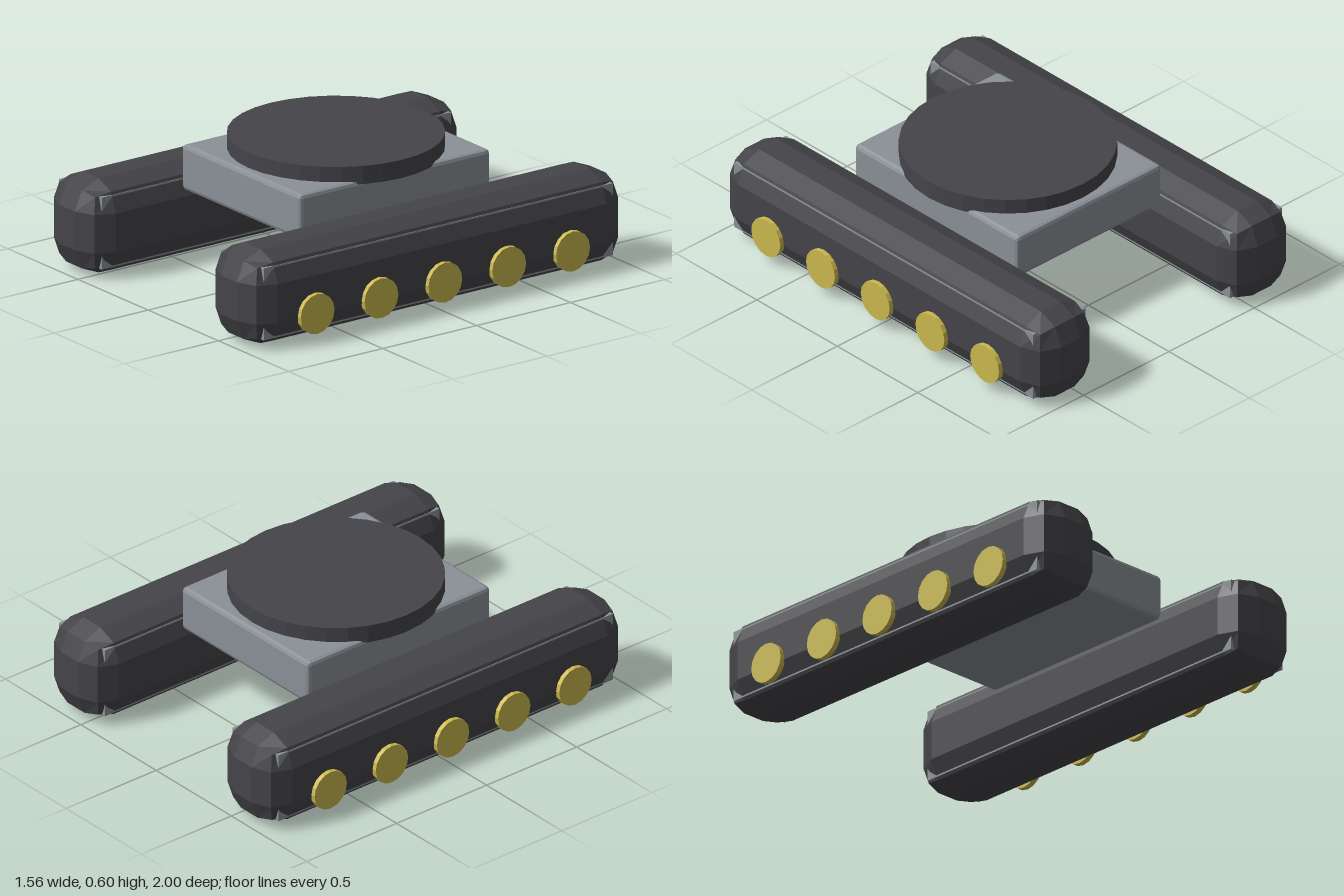
import * as THREE from 'three';
import { RoundedBoxGeometry } from 'three/addons/geometries/RoundedBoxGeometry.js';

function material(name, color) {
  const m = new THREE.MeshStandardMaterial({ color, flatShading: true });
  m.name = name;
  return m;
}

export function createModel() {
  const model = new THREE.Group();
  model.name = 'trackedChassis';
  const darkRubber = material('dark rubber', 0x454449);
  const greyMetal = material('grey metal', 0x8a9197);
  const yellowPaint = material('yellow paint', 0xcbb94f);

  function add(parent, name, geometry, mat, x, y, z) {
    const mesh = new THREE.Mesh(geometry, mat);
    mesh.name = name;
    mesh.position.set(x, y, z);
    parent.add(mesh);
    return mesh;
  }

  // Central hull with slightly softened edges
  add(model, 'hull', new RoundedBoxGeometry(0.845, 0.205, 1.015, 1, 0.018), greyMetal, 0, 0.428, 0);

  // Turntable sunk a little into the hull top
  add(model, 'turntable', new THREE.CylinderGeometry(0.466, 0.466, 0.082, 32), darkRubber, 0, 0.558, 0);

  const trackGeometry = new RoundedBoxGeometry(0.362, 0.425, 2, 1, 0.125);
  const frameGeometry = new THREE.BoxGeometry(0.306, 0.325, 1.86);
  const wheelGeometry = new THREE.CylinderGeometry(0.09, 0.09, 0.026, 16).rotateZ(Math.PI / 2);

  for (const side of [1, -1]) {
    const assembly = new THREE.Group();
    assembly.name = side > 0 ? 'leftTrackAssembly' : 'rightTrackAssembly';
    model.add(assembly);

    // Chamfered track, with the corners of its inner frame just showing
    add(assembly, 'track', trackGeometry, darkRubber, side * 0.576, 0.2125, 0);
    add(assembly, 'trackFrame', frameGeometry, greyMetal, side * 0.576, 0.2125, 0);

    // Five road wheels on the outer face
    for (let i = -2; i <= 2; i++) {
      add(assembly, 'roadWheel', wheelGeometry, yellowPaint, side * 0.765, 0.132, i * 0.34);
    }
  }
  return model;
}
